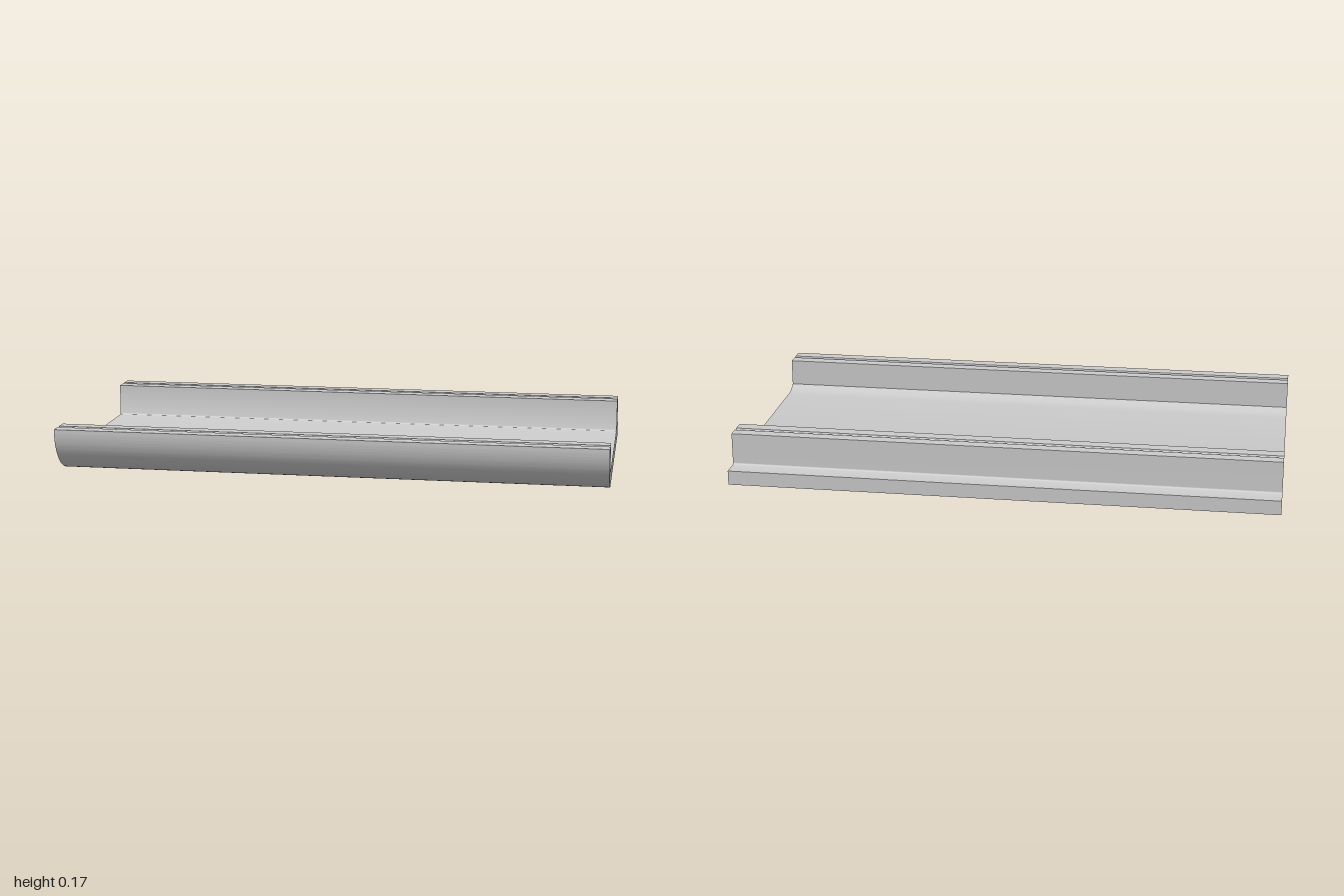
import * as THREE from 'three';
import { toCreasedNormals } from 'three/addons/utils/BufferGeometryUtils.js';

const LENGTH = 2, BACK = -0.52, FRONT = 0.52;
const TOP = 0.172, FLOOR = 0.053; // rim height and plate thickness
const LIP_IN = 0.414; // inner wall of the front lip
const RIB_FRONT = -0.344, RIB_BACK = -0.45;
const FILLET = 0.006, GROOVE = 0.0095;

// Round groove cut into a top face, travelling towards the back
function groove(shape, z) {
  shape.lineTo(z + GROOVE, TOP);
  shape.absarc(z, TOP, GROOVE, 0, -Math.PI, true);
}

// Cross-section drawn in (z, y), counterclockwise from the lower back corner
function trayProfile() {
  const s = new THREE.Shape();
  const cz = FRONT - TOP; // shared centre of the curved lip
  const inner = TOP - FLOOR;
  s.moveTo(BACK, 0);
  s.lineTo(cz, 0);
  // curved front lip, outside
  s.absarc(cz, TOP, TOP, -Math.PI / 2, 0, false);
  groove(s, 0.467);
  s.lineTo(LIP_IN, TOP);
  // straight inner wall running into the concentric inner curve
  s.absarc(cz, TOP, inner, -Math.acos((LIP_IN - cz) / inner), -Math.PI / 2, true);
  // floor, then the upright rib with small fillets at its foot
  s.lineTo(RIB_FRONT + FILLET, FLOOR);
  s.absarc(RIB_FRONT + FILLET, FLOOR + FILLET, FILLET, -Math.PI / 2, -Math.PI, true);
  s.lineTo(RIB_FRONT, TOP);
  groove(s, -0.398);
  s.lineTo(RIB_BACK, TOP);
  s.lineTo(RIB_BACK, FLOOR + FILLET);
  s.absarc(RIB_BACK - FILLET, FLOOR + FILLET, FILLET, 0, -Math.PI / 2, true);
  // back ledge
  s.lineTo(BACK, FLOOR);
  s.closePath();
  return s;
}

export function createModel() {
  const group = new THREE.Group();
  group.name = 'extrudedTray';

  const geometry = new THREE.ExtrudeGeometry(trayProfile(), {
    depth: LENGTH, bevelEnabled: false, curveSegments: 24,
  });
  geometry.translate(0, 0, -LENGTH / 2);
  geometry.rotateY(-Math.PI / 2); // profile x becomes z, length runs along x

  const tray = new THREE.Mesh(
    toCreasedNormals(geometry, 0.5),
    new THREE.MeshStandardMaterial({ color: 0xcccccc }),
  );
  tray.name = 'trayProfile';
  group.add(tray);
  return group;
}
